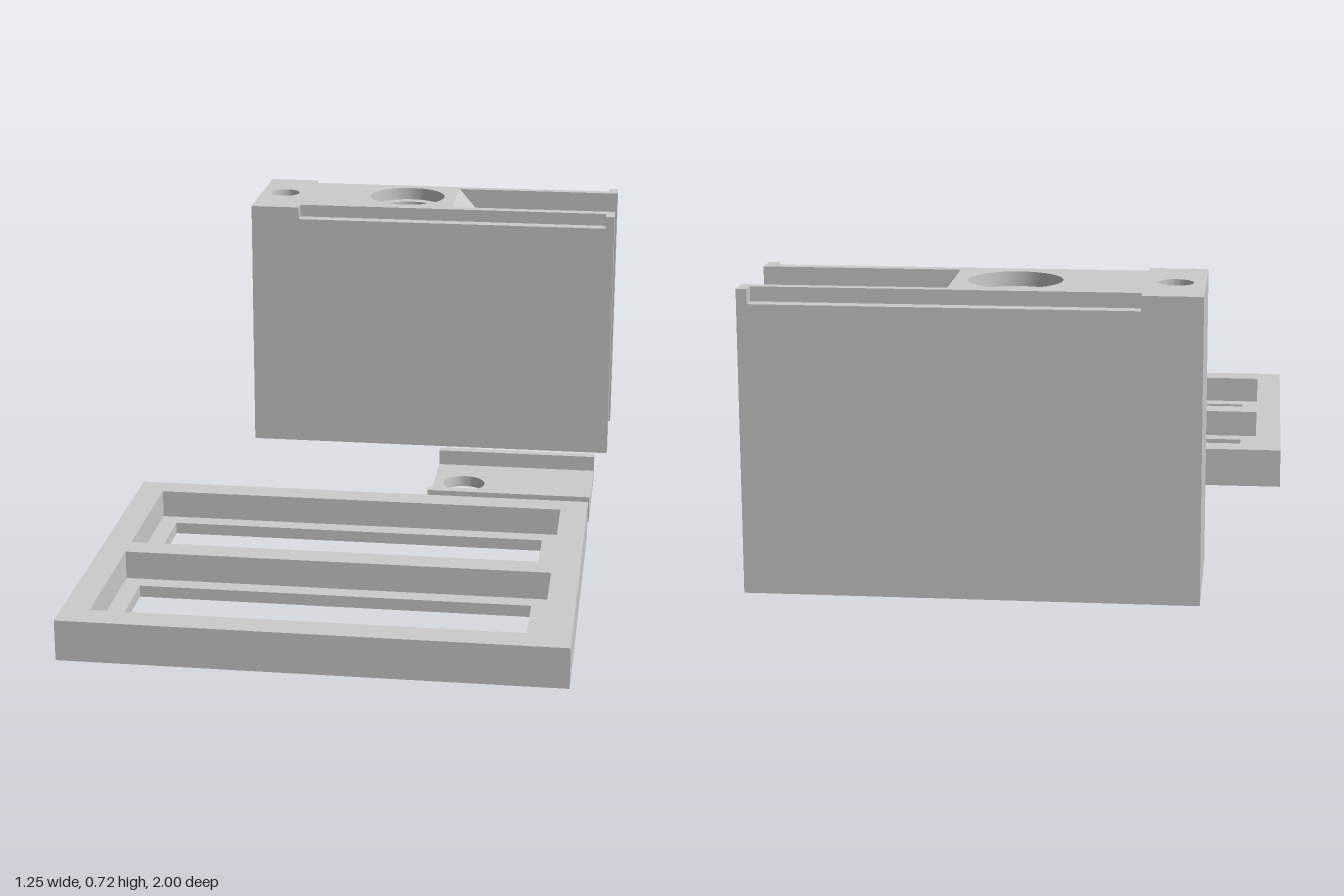
import * as THREE from 'three';
import { mergeGeometries, toCreasedNormals } from 'three/addons/utils/BufferGeometryUtils.js';

const material = new THREE.MeshStandardMaterial({ color: 0xcccccc });

// Plan outlines are [x, z] points, anticlockwise seen from above
const rect = (x0, x1, z0, z1) => [[x0, z1], [x1, z1], [x1, z0], [x0, z0]];
const circle = (x, z, r, n = 48) => Array.from({ length: n }, (_, i) => {
  const t = (i / n) * Math.PI * 2;
  return [x + r * Math.cos(t), z - r * Math.sin(t)];
});
const closed = (loop) => [...loop, loop[0]];

function quads(list) {
  const pos = [];
  for (const [a, b, c, d] of list) pos.push(...a, ...b, ...c, ...a, ...c, ...d);
  const g = new THREE.BufferGeometry();
  g.setAttribute('position', new THREE.Float32BufferAttribute(pos, 3));
  g.computeVertexNormals();
  return g;
}

// Vertical wall along a path; it faces right of the walking direction
function wall(path, y0, y1) {
  return quads(path.slice(1).map((b, i) => {
    const a = path[i];
    return [[a[0], y0, a[1]], [b[0], y0, b[1]], [b[0], y1, b[1]], [a[0], y1, a[1]]];
  }));
}
const outer = (loop, y0, y1) => wall(closed(loop), y0, y1);
const inner = (loop, y0, y1) => wall(closed(loop).reverse(), y0, y1);

function flat(outline, holes = []) {
  const vec = (loop) => loop.map(([x, y]) => new THREE.Vector2(x, y));
  const shape = new THREE.Shape(vec(outline));
  shape.holes = holes.map((h) => new THREE.Path(vec(h)));
  const g = new THREE.ShapeGeometry(shape).toNonIndexed();
  g.deleteAttribute('uv');
  return g;
}

// Horizontal faces looking up and down
function top(outline, y, holes = []) {
  const flip = (loop) => loop.map(([x, z]) => [x, -z]);
  return flat(flip(outline), holes.map(flip)).rotateX(-Math.PI / 2).translate(0, y, 0);
}
const bottom = (outline, y, holes = []) => flat(outline, holes).rotateX(Math.PI / 2).translate(0, y, 0);

function part(name, faces) {
  const mesh = new THREE.Mesh(toCreasedNormals(mergeGeometries(faces), 0.5), material);
  mesh.name = name;
  return mesh;
}

// Tall block with a slotted end, counterbored hole and rail rebates
function block() {
  const H = 0.72, step = 0.685, L = -0.44, R = 0.62;
  const zb = -1, zf = -0.64, sb = -0.94, sf = -0.705;
  const slotX = 0.205, rampX = 0.145, rampY = 0.65;
  const n0 = -0.3, n1 = 0.595, nb = -0.965, nf = -0.675;
  const bore = circle(0, -0.825, 0.08), counterbore = circle(0, -0.825, 0.11);
  const pin = circle(-0.37, -0.825, 0.042);
  const lower = [[R, sb], [R, zb], [L, zb], [L, zf], [R, zf], [R, sf]];
  const upper = [[R, sb], [R, zb], [n1, zb], [n1, nb], [n0, nb], [n0, zb], [L, zb],
    [L, zf], [n0, zf], [n0, nf], [n1, nf], [n1, zf], [R, zf], [R, sf]];
  const slotSide = [[slotX, 0], [R, 0], [R, H], [rampX, H], [slotX, rampY]];
  return part('slottedBlock', [
    wall(lower, 0, step),
    wall(upper, step, H),
    bottom([...lower, [slotX, sf], [slotX, sb]], 0, [bore]),
    top([...upper, [rampX, sf], [rampX, sb]], H, [counterbore, pin]),
    // rebate floors
    top(rect(n0, n1, zb, nb), step),
    top(rect(n0, n1, nf, zf), step),
    // slot sides, end and ramp
    flat(slotSide).translate(0, 0, sb),
    flat(slotSide.map(([x, y]) => [-x, y])).rotateY(Math.PI).translate(0, 0, sf),
    wall([[slotX, sf], [slotX, sb]], 0, rampY),
    quads([[[slotX, rampY, sf], [slotX, rampY, sb], [rampX, H, sb], [rampX, H, sf]]]),
    // stepped through hole and blind pin hole
    inner(bore, 0, step),
    top(counterbore, step, [bore]),
    inner(counterbore, step, H),
    inner(pin, 0.62, H),
    top(pin, 0.62),
  ]);
}

// Channel-shaped sliding cover with a round hole
function slider() {
  const x0 = 0.145, x1 = 0.59, z0 = -0.425, z1 = -0.068, t = 0.027, floor = 0.03, H = 0.072;
  const hole = circle(0.23, -0.248, 0.058);
  const plan = rect(x0, x1, z0, z1), bed = rect(x0, x1, z0 + t, z1 - t);
  const faces = [
    bottom(plan, 0, [hole]),
    top(bed, floor, [hole]),
    inner(hole, 0, floor),
    wall([[x0, z0 + t], [x0, z1 - t]], 0, floor),
    wall([[x1, z1 - t], [x1, z0 + t]], 0, floor),
    wall([[x0, z0 + t], [x1, z0 + t]], floor, H),
    wall([[x1, z1 - t], [x0, z1 - t]], floor, H),
  ];
  // lips
  for (const [a, b] of [[z0, z0 + t], [z1 - t, z1]]) {
    faces.push(top(rect(x0, x1, a, b), H),
      wall([[x0, a], [x0, b]], 0, H), wall([[x1, b], [x1, a]], 0, H));
  }
  faces.push(wall([[x1, z0], [x0, z0]], 0, H), wall([[x0, z1], [x1, z1]], 0, H));
  return part('slidingCover', faces);
}

// Double frame with a ledge around each window
function frame() {
  const H = 0.102, ledge = 0.03, e = 0.045;
  const plan = rect(-0.625, 0.59, 0.048, 1);
  const pockets = [], windows = [];
  for (const [a, b] of [[0.115, 0.488], [0.555, 0.928]]) {
    pockets.push(rect(-0.557, 0.52, a, b));
    windows.push(rect(-0.557 + e, 0.52 - e, a + e, b - e));
  }
  const faces = [outer(plan, 0, H), bottom(plan, 0, windows), top(plan, H, pockets)];
  pockets.forEach((p, i) => faces.push(
    inner(p, ledge, H), top(p, ledge, [windows[i]]), inner(windows[i], 0, ledge)));
  return part('windowFrame', faces);
}

export function createModel() {
  const model = new THREE.Group();
  model.name = 'blockCoverAndFrame';
  model.add(block(), slider(), frame());
  return model;
}
